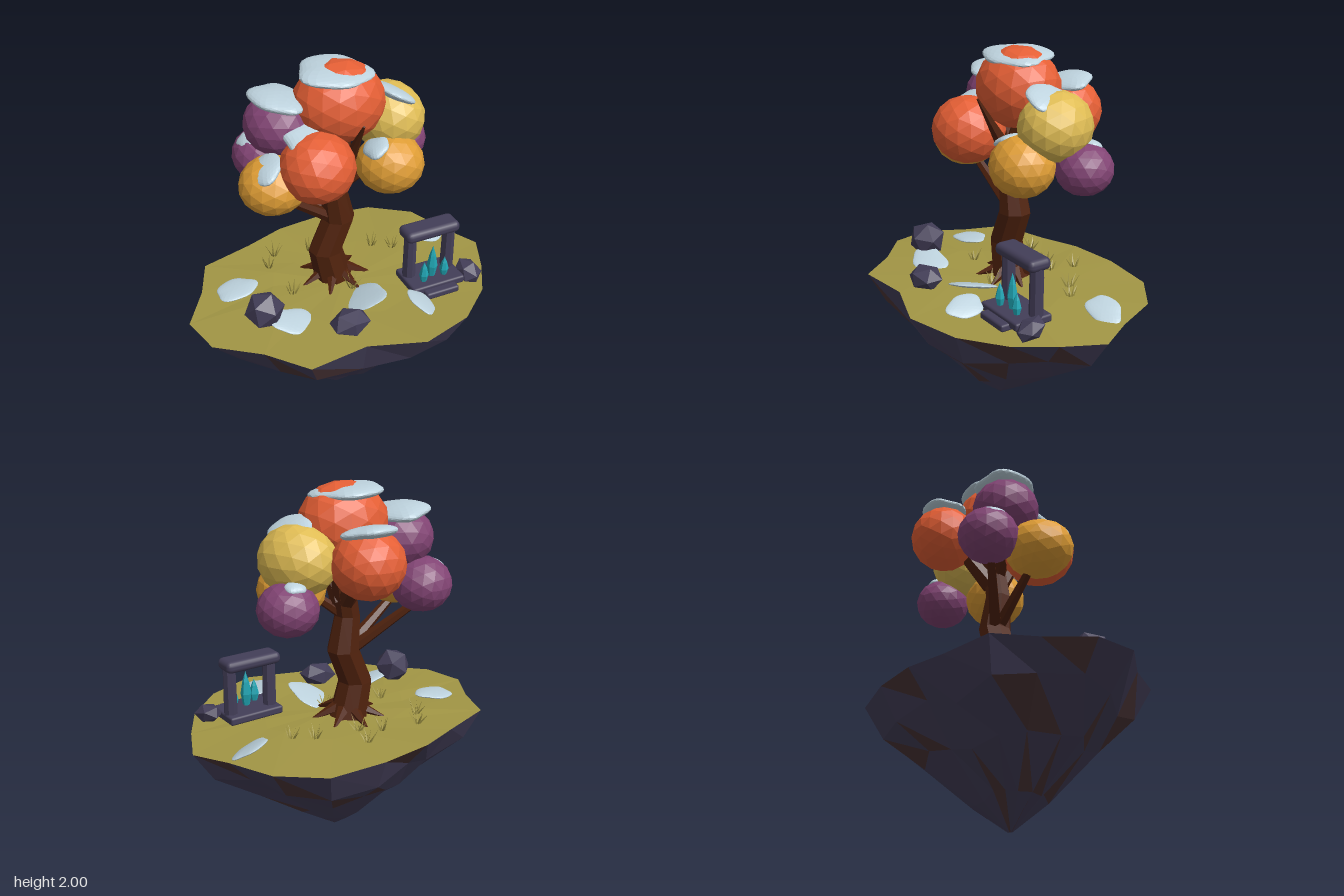
import * as THREE from 'three';
import { RoundedBoxGeometry } from 'three/addons/geometries/RoundedBoxGeometry.js';

const mat = (name, color) => Object.assign(new THREE.MeshStandardMaterial({ color }), { name });

function seeded(seed) {
  return () => {
    seed = (seed * 16807) % 2147483647;
    return seed / 2147483647;
  };
}

// Faceted normals
function flat(geo) {
  const g = geo.index ? geo.toNonIndexed() : geo;
  g.computeVertexNormals();
  return g;
}

function fromTriangles(tris) {
  const g = new THREE.BufferGeometry();
  g.setAttribute('position', new THREE.Float32BufferAttribute(tris.flat(2), 3));
  g.computeVertexNormals();
  return g;
}

// Triangles between stacked rings, listed from top to bottom
function loft(rings) {
  const tris = [];
  for (let r = 0; r < rings.length - 1; r++) {
    const a = rings[r], b = rings[r + 1], n = a.length;
    for (let i = 0; i < n; i++) {
      const j = (i + 1) % n;
      tris.push([a[i], a[j], b[i]], [a[j], b[j], b[i]]);
    }
  }
  return tris;
}

// Upward fan closing a ring
const fan = (centre, ring) => ring.map((p, i) => [centre, ring[(i + 1) % ring.length], p]);

// Flattened ball with an uneven outline
function patchGeometry(phase) {
  const g = new THREE.IcosahedronGeometry(1, 4), p = g.attributes.position;
  for (let i = 0; i < p.count; i++) {
    const x = p.getX(i), z = p.getZ(i), a = Math.atan2(z, x);
    const k = 1 + 0.06 * Math.sin(3 * a + phase) + 0.04 * Math.sin(5 * a + phase * 2);
    p.setXYZ(i, x * k, p.getY(i), z * k);
  }
  return flat(g);
}

export function createModel() {
  const model = new THREE.Group();
  model.name = 'floatingIsland';
  const rand = seeded(4711);
  const jitter = (v) => (rand() * 2 - 1) * v;

  const grass = mat('grass', 0xa29645);
  const rock = mat('slate', 0x433e58);
  const earth = mat('earth', 0x4b3537);
  const bark = mat('bark', 0x50220d);
  const red = mat('redLeaves', 0xe55f35);
  const yellow = mat('yellowLeaves', 0xdfbc54);
  const orange = mat('orangeLeaves', 0xdf9d35);
  const purple = mat('purpleLeaves', 0x824474);
  const snow = mat('snow', 0xbdd2dd);
  const crystal = mat('crystal', 0x20a5b3);

  const add = (name, geo, material, parent = model) => {
    const m = new THREE.Mesh(geo, material);
    m.name = name;
    parent.add(m);
    return m;
  };
  const group = (name) => {
    const g = new THREE.Group();
    g.name = name;
    model.add(g);
    return g;
  };
  // Tapered limb between two points
  const limb = (name, a, b, r0, r1, material, parent, sides = 6) => {
    const from = new THREE.Vector3(...a), dir = new THREE.Vector3(...b).sub(from);
    const m = add(name, flat(new THREE.CylinderGeometry(r1, r0, dir.length(), sides)), material, parent);
    m.position.copy(from).addScaledVector(dir, 0.5);
    m.quaternion.setFromUnitVectors(new THREE.Vector3(0, 1, 0), dir.normalize());
  };
  // Unit shape placed, sized and tilted
  const place = (name, geo, p, s, material, parent, rot) => {
    const m = add(name, geo, material, parent);
    m.position.set(...p);
    m.scale.set(...s);
    m.rotation.set(...rot);
  };

  // Island: rim outline as x, z pairs
  const outline = [
    [-0.13, -0.64], [0.16, -0.67], [0.47, -0.64], [0.69, -0.47], [0.79, -0.22], [0.89, -0.03],
    [0.79, 0.19], [0.67, 0.39], [0.46, 0.57], [0.17, 0.66], [-0.13, 0.56], [-0.45, 0.59],
    [-0.62, 0.38], [-0.84, 0.2], [-0.89, -0.03], [-0.75, -0.25], [-0.66, -0.47], [-0.36, -0.56],
  ];
  const rim = outline.map(([x, z]) => [x, 0.732 - 0.04 * x * x - (z < -0.5 ? 0.015 : 0), z]);
  const inner = outline.map(([x, z]) => [x * 0.5, 0.72 + jitter(0.008), z * 0.5]);
  add('grassTop', fromTriangles([...loft([inner, rim]), ...fan([0, 0.72, 0], inner)]), grass);

  const levels = [[0.54, 0.84, 0.04], [0.36, 0.58, 0.04], [0.15, 0.26, 0.025], [0, 0.012, 0]];
  const rings = levels.map(([y, s, v]) => outline.map(([x, z]) => {
    const k = s * (1 + jitter(v * 1.6));
    return [x * k, y + jitter(v), z * k];
  }));
  const stoneFaces = [], earthFaces = [];
  for (const t of loft([rim, ...rings])) (rand() < 0.16 ? earthFaces : stoneFaces).push(t);
  add('islandRock', fromTriangles(stoneFaces), rock);
  add('islandEarthPatches', fromTriangles(earthFaces), earth);

  // Tree: crooked trunk, limbs and roots
  const tree = group('tree');
  const trunk = [
    [0.05, 1.66, -0.13, 0.055], [0.01, 1.45, -0.09, 0.066], [-0.02, 1.29, -0.085, 0.071],
    [0.01, 1.1, -0.09, 0.09], [-0.07, 0.91, -0.09, 0.094], [-0.02, 0.7, -0.09, 0.108],
  ].map(([x, y, z, r]) => Array.from({ length: 8 }, (_, i) => {
    const a = (i / 8) * Math.PI * 2 + 0.2;
    return [x + Math.cos(a) * r, y, z + Math.sin(a) * r];
  }));
  add('trunk', fromTriangles([...loft(trunk), ...fan([0.05, 1.66, -0.13], trunk[0])]), bark, tree);
  [
    [[0.02, 1.36, -0.08], [0.035, 1.76, 0.16], 0.055, 0.006],
    [[0, 1.09, -0.09], [-0.35, 1.34, -0.06], 0.038, 0.022],
    [[-0.02, 1.09, -0.1], [-0.32, 1.36, -0.29], 0.036, 0.022],
    [[0, 1.29, -0.08], [0.2, 1.45, 0], 0.032, 0.02],
    [[0.01, 1.38, -0.12], [0.06, 1.66, -0.36], 0.05, 0.03],
    [[0, 1.42, -0.08], [-0.26, 1.66, -0.15], 0.045, 0.025],
  ].forEach(([a, b, r0, r1]) => limb('branch', a, b, r0, r1, bark, tree));
  for (let i = 0; i < 7; i++) {
    const a = (i / 7) * Math.PI * 2 + 0.3, c = Math.cos(a), s = Math.sin(a);
    limb('root', [-0.02 + c * 0.06, 0.77, -0.09 + s * 0.06],
      [-0.02 + c * 0.2, 0.715, -0.09 + s * 0.2], 0.035, 0.006, bark, tree, 5);
  }

  // Foliage: centre, radii, colour
  const leaves = group('foliage');
  [
    [[0.02, 1.785, -0.1], [0.245, 0.215, 0.215], red],
    [[-0.18, 1.545, 0.08], [0.2, 0.182, 0.195], red],
    [[0.07, 1.635, -0.385], [0.183, 0.178, 0.19], red],
    [[-0.375, 1.437, -0.03], [0.177, 0.152, 0.188], orange],
    [[0.25, 1.443, 0.035], [0.183, 0.163, 0.172], orange],
    [[0.31, 1.637, -0.125], [0.187, 0.183, 0.213], yellow],
    [[-0.28, 1.69, -0.18], [0.182, 0.162, 0.182], purple],
    [[-0.33, 1.46, -0.31], [0.162, 0.147, 0.162], purple],
    [[0.43, 1.43, -0.22], [0.157, 0.137, 0.152], purple],
  ].forEach(([p, s, m], i) => place('leafCluster', flat(new THREE.IcosahedronGeometry(1, 2)), p, s, m, leaves, [0, i * 0.7, 0]));

  // Snow caps: centre, radii, tilt
  const caps = group('snowCaps');
  [
    [[0, 1.945, -0.11], [0.19, 0.04, 0.18], [0.05, 0, -0.06]],
    [[-0.17, 1.675, 0.01], [0.165, 0.05, 0.125], [0.32, 0, -0.12]],
    [[-0.43, 1.545, -0.01], [0.1, 0.032, 0.115], [0, 0, 0.5]],
    [[-0.28, 1.825, -0.18], [0.14, 0.042, 0.17], [0, 0, -0.15]],
    [[0.315, 1.785, -0.08], [0.11, 0.032, 0.135], [-0.1, 0, -0.5]],
    [[0.065, 1.793, -0.39], [0.145, 0.036, 0.12], [0.22, 0, 0]],
    [[0.16, 1.56, 0.05], [0.07, 0.028, 0.08], [0, 0, 0.5]],
    [[0.42, 1.548, -0.27], [0.055, 0.025, 0.05], [-0.3, 0, 0]],
    [[-0.41, 1.555, -0.31], [0.055, 0.028, 0.07], [0, 0, 0.5]],
  ].forEach(([p, s, rot], i) => place('snowCap', patchGeometry(i * 1.3), p, s, snow, caps, rot));

  // Snow drifts on the grass
  const drifts = group('snowDrifts');
  [
    [[-0.575, 0.735, -0.165], [0.115, 0.016, 0.09], [0, 0, 0.1]],
    [[-0.4, 0.74, 0.22], [0.125, 0.016, 0.09], [0.2, 0, -0.22]],
    [[0.03, 0.74, 0.2], [0.12, 0.014, 0.14], [-0.28, 0, 0.28]],
    [[0.655, 0.74, -0.2], [0.105, 0.014, 0.08], [0.35, 0, -0.3]],
    [[0.275, 0.77, 0.4], [0.075, 0.014, 0.1], [0.1, 0, -0.45]],
  ].forEach(([p, s, rot], i) => place('snowDrift', patchGeometry(i * 2 + 1), p, s, snow, drifts, rot));

  // Boulders
  [
    [[-0.53, 0.815, 0.16], [0.11, 0.105, 0.105], [0.3, 0.4, 0.2]],
    [[-0.145, 0.77, 0.39], [0.115, 0.072, 0.09], [0, 0, 0.1]],
    [[0.65, 0.765, 0.26], [0.07, 0.055, 0.09], [0.3, 0.2, 0.2]],
  ].forEach(([p, s, rot]) => place('boulder', flat(new THREE.IcosahedronGeometry(1, 0)), p, s, rock, model, rot));

  // Stone shrine with rounded lintel
  const shrine = group('stoneShrine');
  const slab = (name, w, h, d, x, y, z, r) =>
    add(name, new RoundedBoxGeometry(w, h, d, 2, r), rock, shrine).position.set(x, y, z);
  slab('baseSlab', 0.32, 0.045, 0.22, 0.44, 0.755, 0.2, 0.012);
  slab('step', 0.2, 0.04, 0.09, 0.44, 0.738, 0.31, 0.012);
  slab('lintel', 0.325, 0.065, 0.13, 0.44, 1.052, 0.163, 0.028);
  for (const side of [-1, 1]) {
    const x = 0.443 + side * 0.12;
    limb('pillar', [x, 0.76, 0.165], [x, 1.04, 0.165], 0.038, 0.035, rock, shrine, 8);
  }
  // Crystals: x, z, height, radius
  [[0.37, 0.25, 0.13, 0.026], [0.437, 0.22, 0.2, 0.03], [0.503, 0.24, 0.12, 0.026]].forEach(([x, z, h, r]) => {
    const profile = [[0.6 * r, 0], [r, h * 0.35], [0.6 * r, h * 0.7], [0, h]].map((p) => new THREE.Vector2(...p));
    add('crystal', flat(new THREE.LatheGeometry(profile, 6)), crystal, shrine).position.set(x, 0.772, z);
  });

  // Grass tufts
  const tufts = group('grassTufts');
  for (const [x, z] of [[-0.33, -0.3], [-0.3, -0.02], [-0.26, -0.4], [0.02, 0.07], [0.06, -0.3],
    [0.1, -0.44], [0.3, -0.25], [0.4, -0.18], [-0.05, -0.36]]) {
    for (let i = 0; i < 7; i++) {
      const a = i * 0.9 + x * 9, lean = 0.015 + rand() * 0.03;
      const c = Math.cos(a), s = Math.sin(a);
      limb('blade', [x + c * 0.012, 0.715, z + s * 0.012],
        [x + c * (0.012 + lean), 0.765 + rand() * 0.03, z + s * (0.012 + lean)], 0.007, 0.0005, grass, tufts, 3);
    }
  }
  return model;
}
